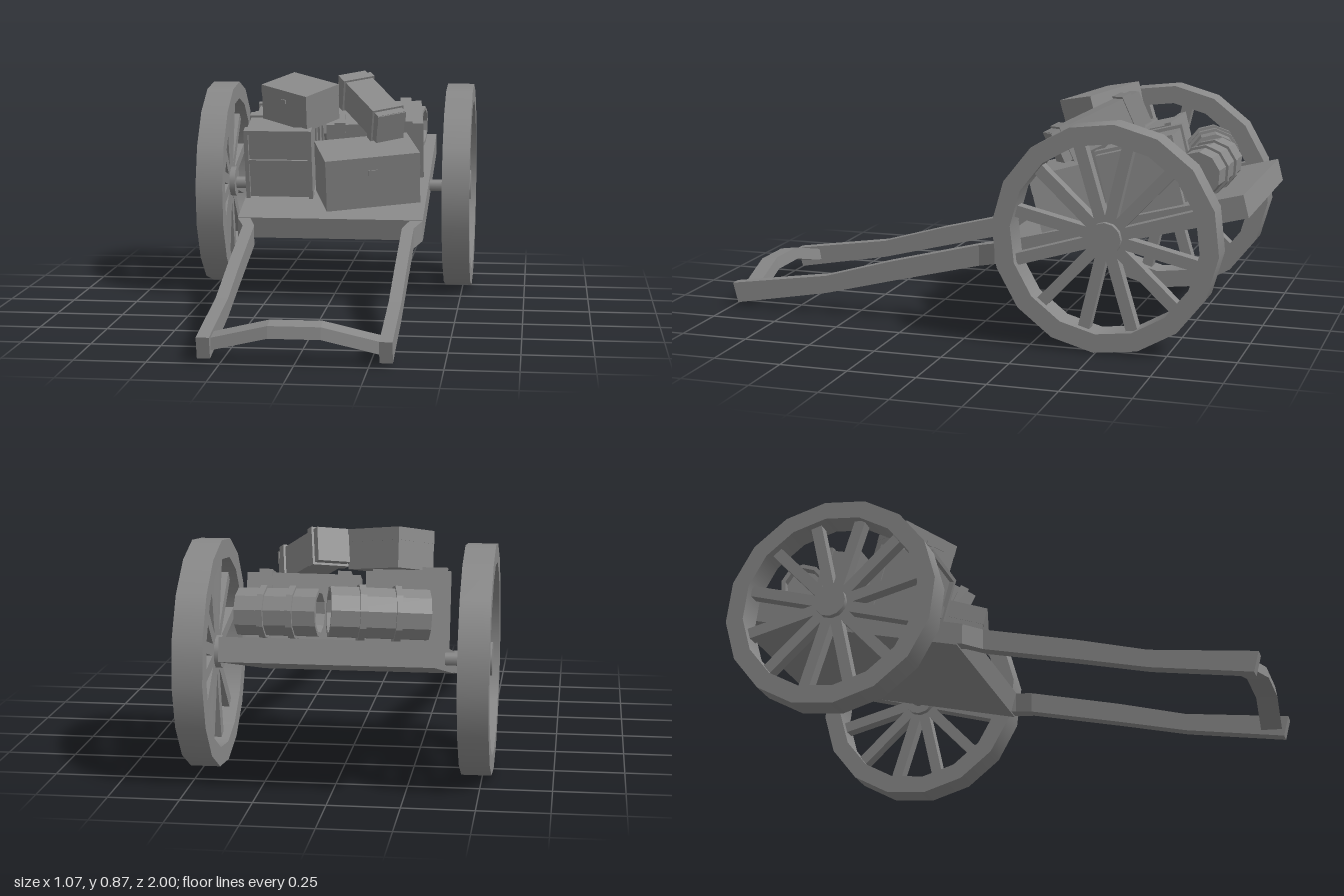
import * as THREE from 'three';

const flat = new THREE.MeshStandardMaterial({ color: 0x888888, flatShading: true, side: THREE.DoubleSide });
const smooth = new THREE.MeshStandardMaterial({ color: 0x888888, side: THREE.DoubleSide });

function add(parent, name, geo, x = 0, y = 0, z = 0, mat = flat) {
  const m = new THREE.Mesh(geo, mat);
  m.name = name;
  m.position.set(x, y, z);
  parent.add(m);
  return m;
}

const box = (parent, name, w, h, d, x, y, z) => add(parent, name, new THREE.BoxGeometry(w, h, d), x, y, z);

function group(parent, name, x, y, z, yaw = 0, pitch = 0) {
  const g = new THREE.Group();
  g.name = name;
  g.position.set(x, y, z);
  g.rotation.set(pitch, yaw, 0, 'YXZ');
  parent.add(g);
  return g;
}

// Beam swept through four-cornered sections, each a list of four [x, y, z]
function beam(sections) {
  const idx = [];
  for (let i = 0; i < sections.length - 1; i++) {
    for (let j = 0; j < 4; j++) {
      const a = i * 4 + j, b = i * 4 + (j + 1) % 4;
      idx.push(a, b, b + 4, a, b + 4, a + 4);
    }
  }
  const e = (sections.length - 1) * 4;
  idx.push(0, 2, 1, 0, 3, 2, e, e + 1, e + 2, e, e + 2, e + 3);
  const g = new THREE.BufferGeometry();
  g.setAttribute('position', new THREE.Float32BufferAttribute(sections.flat(2), 3));
  g.setIndex(idx);
  const split = g.toNonIndexed();
  split.computeVertexNormals();
  return split;
}

function wheel(parent, side) {
  const g = group(parent, side > 0 ? 'leftWheel' : 'rightWheel', side * 0.482, 0.41, -0.525);
  // Rim: one smooth band per side of its square section, so the corners stay sharp
  const w = 0.053;
  const profile = [[0.342, -w], [0.41, -w], [0.41, w], [0.342, w], [0.342, -w]].map(p => new THREE.Vector2(...p));
  for (let i = 0; i < 4; i++) {
    const band = new THREE.LatheGeometry(profile.slice(i, i + 2), 16, 0.08);
    add(g, 'rim', band, 0, 0, 0, smooth).rotation.z = Math.PI / 2;
  }
  add(g, 'hub', new THREE.CylinderGeometry(0.06, 0.06, 0.09, 12), 0, 0, 0, smooth).rotation.z = Math.PI / 2;
  for (let i = 0; i < 12; i++) {
    const a = 0.23 + i * Math.PI / 6;
    const spoke = box(g, 'spoke', 0.046, 0.31, 0.042, 0, 0.2 * Math.sin(a), 0.2 * Math.cos(a));
    spoke.rotation.x = Math.PI / 2 - a;
  }
}

// Case with a lid and a front latch
function trunk(parent, name, w, h, d, x, y, z, yaw) {
  const g = group(parent, name, x, y, z, yaw);
  box(g, 'body', w, h * 0.68, d, 0, -h * 0.16, 0);
  box(g, 'lid', w + 0.002, h * 0.32, d + 0.002, 0, h * 0.34, 0);
  box(g, 'latch', w * 0.095, h * 0.11, 0.01, 0, h * 0.19, d / 2);
}

// Straight hooped barrel lying along x with recessed ends
function barrel(parent, name, r, len, x, y, z, yaw) {
  const g = group(parent, name, x, y, z, yaw);
  const h = len / 2;
  const profile = [[0, 0.03 - h], [r * 0.76, 0.03 - h], [r * 0.8, -h], [r * 0.97, -h],
    [r * 0.97, h], [r * 0.8, h], [r * 0.76, h - 0.03], [0, h - 0.03]];
  add(g, 'staves', new THREE.LatheGeometry(profile.map(p => new THREE.Vector2(...p)), 10)).rotation.z = Math.PI / 2;
  for (const s of [-1, 1]) {
    add(g, 'hoop', new THREE.CylinderGeometry(r * 1.08, r * 1.08, 0.022, 10), s * h * 0.36).rotation.z = Math.PI / 2;
  }
}

export function createModel() {
  const root = new THREE.Group();
  root.name = 'handcart';

  // Wheels, and an axle that thickens towards each hub
  for (const s of [1, -1]) {
    wheel(root, s);
    const axle = add(root, 'axle', new THREE.CylinderGeometry(0.025, 0.015, 0.46, 8), s * 0.23, 0.405, -0.525, smooth);
    axle.rotation.z = -s * Math.PI / 2;
  }

  // Pulling shafts: z, bottom, top, inner x, outer x
  const stations = [[-0.1, 0.255, 0.335, 0.31, 0.36], [-0.07, 0.25, 0.328, 0.31, 0.36], [0, 0.232, 0.31, 0.285, 0.33],
    [0.355, 0.145, 0.22, 0.285, 0.33], [0.61, 0.08, 0.147, 0.285, 0.33], [0.99, 0.014, 0.09, 0.285, 0.33]];
  for (const s of [1, -1]) {
    const shaft = stations.map(([z, b, t, i, o]) => {
      const [l, r] = s > 0 ? [i, o] : [-o, -i];
      const lean = z > 0.9 ? 0.01 : 0;
      return [[l, b, z - lean], [r, b, z - lean], [r, t, z + lean], [l, t, z + lean]];
    });
    add(root, s > 0 ? 'leftShaft' : 'rightShaft', beam(shaft));
  }

  // Bowed cross handle: x, bottom, z of back edge
  const bar = [[-0.29, 0.04, 0.895], [-0.09, 0.09, 0.915], [0.09, 0.09, 0.915], [0.29, 0.04, 0.895]];
  add(root, 'handle', beam(bar.map(([x, b, z]) =>
    [[x, b + 0.005, z], [x, b + 0.051, z + 0.008], [x, b + 0.042, z + 0.072], [x, b, z + 0.078]])));

  // Tilted bed; everything loaded sits in its frame
  const load = group(root, 'load', 0, 0.33, -0.07, 0, 0.253);
  box(load, 'bed', 0.72, 0.084, 0.94, 0, -0.042, -0.47);

  // Trunks
  trunk(load, 'frontTrunk', 0.375, 0.21, 0.23, 0.126, 0.105, -0.235, 0.3);
  trunk(load, 'upperTrunk', 0.24, 0.145, 0.19, -0.148, 0.347, -0.372, -0.63);

  // Upright chest: framed, recessed front with a cross band, and a rear band
  const chest = group(load, 'chest', -0.222, 0, -0.305);
  box(chest, 'body', 0.255, 0.276, 0.19, 0, 0.138, -0.005);
  box(chest, 'rearBand', 0.267, 0.285, 0.04, 0, 0.1425, -0.088);
  for (const s of [-1, 1]) box(chest, 'frameSide', 0.016, 0.285, 0.045, s * 0.1255, 0.1425, 0.086);
  box(chest, 'frameTop', 0.267, 0.016, 0.045, 0, 0.277, 0.086);
  box(chest, 'crossBand', 0.235, 0.047, 0.02, 0, 0.135, 0.09);

  // Banded crate behind the chest
  const crate = group(load, 'backCrate', -0.222, 0, -0.56);
  box(crate, 'body', 0.25, 0.243, 0.13, 0, 0.1215, 0);
  for (const s of [-1, 1]) box(crate, 'band', 0.265, 0.252, 0.025, 0, 0.126, s * 0.058);

  // Strapped crate in the middle
  const mid = group(load, 'middleCrate', 0.13, 0.117, -0.56, 0.09);
  box(mid, 'body', 0.39, 0.234, 0.27, 0, 0, 0);
  for (const x of [-0.14, 0.13]) box(mid, 'strap', 0.045, 0.25, 0.288, x, 0.004, 0);

  // Long strapped case lying across the pile
  const long = group(load, 'longCase', 0.128, 0.315, -0.415, 0.55, 0.18);
  box(long, 'body', 0.12, 0.12, 0.36, 0, 0, 0);
  for (const z of [-0.13, 0.13]) box(long, 'strap', 0.136, 0.136, 0.035, 0, 0, z);
  box(long, 'endPanel', 0.122, 0.045, 0.012, 0, 0.036, 0.178);

  // Barrels at the tail
  barrel(load, 'rightBarrel', 0.092, 0.34, -0.15, 0.1, -0.745, 0.24);
  barrel(load, 'leftBarrel', 0.086, 0.28, 0.18, 0.094, -0.8, -0.1);

  return root;
}
